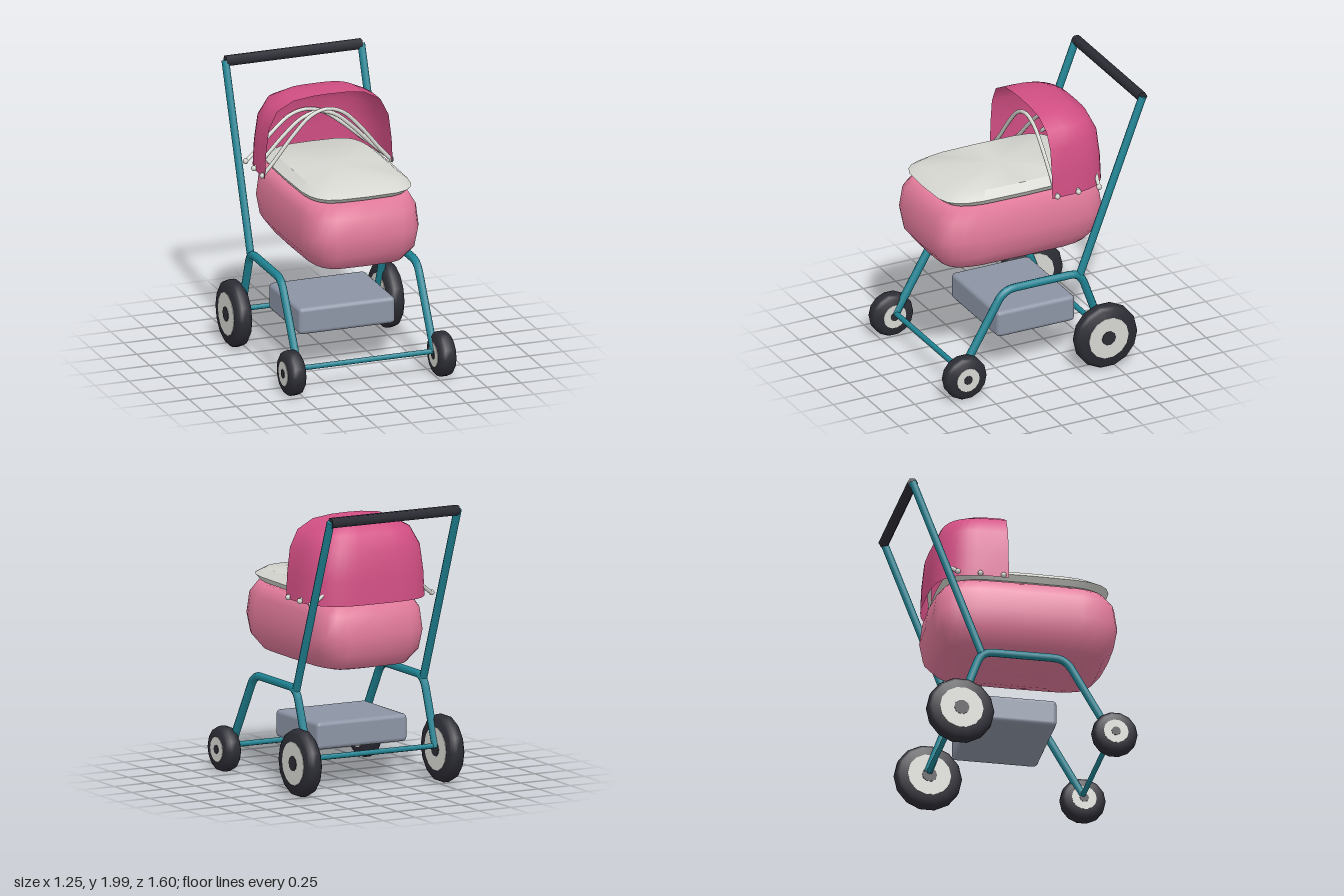
import * as THREE from 'three';
import { toCreasedNormals } from 'three/addons/utils/BufferGeometryUtils.js';
import { RoundedBoxGeometry } from 'three/addons/geometries/RoundedBoxGeometry.js';

const material = (name, color) => {
  const m = new THREE.MeshStandardMaterial({ color });
  m.name = name;
  return m;
};

// Stack of superellipse rings [y, halfWidth, halfDepth], bottom to top.
function loft(rings, { n, z, segments = 24, start = 0, arc = Math.PI * 2 }) {
  const closed = arc > 6.28;
  const cols = closed ? segments : segments + 1;
  const bend = (v) => Math.sign(v) * Math.abs(v) ** (2 / n);
  const positions = [], index = [];
  for (const [y, w, d] of rings) {
    for (let j = 0; j < cols; j++) {
      const t = start + (arc * j) / segments;
      positions.push(w * bend(Math.cos(t)), y, z + d * bend(Math.sin(t)));
    }
  }
  for (let i = 0; i < rings.length - 1; i++) {
    for (let j = 0; j < segments; j++) {
      const k = (j + 1) % cols;
      const a = i * cols + j, b = i * cols + k, c = a + cols, d = b + cols;
      index.push(a, c, b, b, c, d);
    }
  }
  const g = new THREE.BufferGeometry();
  g.setAttribute('position', new THREE.Float32BufferAttribute(positions, 3));
  g.setIndex(index);
  g.computeVertexNormals();
  return g;
}

export function createModel() {
  const model = new THREE.Group();
  model.name = 'babyCarriage';
  const bodyPink = material('bodyPink', 0xe27a9b);
  const hoodPink = material('hoodPink', 0xd24f84);
  hoodPink.side = THREE.DoubleSide;
  const teal = material('teal', 0x1f8494);
  const rubber = material('rubber', 0x2c2c35);
  const cream = material('cream', 0xd6d6d1);
  const slate = material('slate', 0x8c94a5);
  const V = (x, y, z) => new THREE.Vector3(x, y, z);

  const add = (name, geometry, mat, parent = model) => {
    const mesh = new THREE.Mesh(geometry, mat);
    mesh.name = name;
    parent.add(mesh);
    return mesh;
  };
  // Straight round bar between two points
  const bar = (name, from, to, radius, mat, sides = 8) => {
    const mesh = add(name, new THREE.CylinderGeometry(radius, radius, from.distanceTo(to), sides), mat);
    mesh.position.copy(from).lerp(to, 0.5);
    mesh.quaternion.setFromUnitVectors(V(0, 1, 0), to.clone().sub(from).normalize());
    return mesh;
  };

  // Padded body
  add('body', loft([
    [0.81, 0, 0], [0.825, 0.2, 0.36], [0.868, 0.34, 0.555], [0.965, 0.412, 0.63],
    [1.1, 0.435, 0.653], [1.25, 0.42, 0.632], [1.335, 0.375, 0.565], [1.35, 0, 0],
  ], { n: 4.8, z: 0.083 }), bodyPink);

  // Cover with a bevelled rim and slightly domed top
  add('cover', toCreasedNormals(loft([
    [1.345, 0, 0], [1.345, 0.37, 0.54], [1.385, 0.397, 0.59], [1.433, 0.335, 0.505], [1.442, 0, 0],
  ], { n: 4.5, z: 0.09 }), 0.6), cream);

  // Hood: open at the front and underneath
  add('hood', loft([
    [1.325, 0.47, 0.492], [1.5, 0.462, 0.486], [1.68, 0.44, 0.467], [1.8, 0.38, 0.41],
    [1.865, 0.26, 0.3], [1.882, 0.12, 0.17], [1.885, 0, 0],
  ], { n: 3.5, z: -0.077, start: Math.PI, arc: Math.PI }), hoodPink);

  // Hood ribs: [z at the ends, z at the peak, peak height]
  for (const [z0, z1, peak] of [[-0.115, -0.115, 1.765], [-0.277, -0.28, 1.692], [-0.435, -0.52, 1.63]]) {
    const points = [[-0.48, 0], [-0.4, 0.2], [-0.25, 0.62], [-0.12, 0.91], [0, 1],
      [0.12, 0.91], [0.25, 0.62], [0.4, 0.2], [0.48, 0]]
      .map(([x, h]) => V(x, 1.33 + h * (peak - 1.33), z0 + h * (z1 - z0)));
    const path = new THREE.CatmullRomCurve3(points);
    add('hoodRib', new THREE.TubeGeometry(path, 32, 0.014, 8), cream);
    for (const s of [-1, 1]) {
      add('ribEnd', new THREE.SphereGeometry(0.02, 8, 6), cream).position.set(s * 0.475, 1.338, z0);
    }
  }

  // Side frames: bent leg tube plus slanted handle tube
  for (const x of [-0.5, 0.5]) {
    const path = new THREE.CurvePath();
    const p = [V(x, 0.18, 0.637), V(x, 0.655, 0.357), V(x, 0.73, 0.313), V(x, 0.73, 0.23),
      V(x, 0.73, -0.2), V(x, 0.73, -0.275), V(x, 0.65, -0.305), V(x, 0.25, -0.45)];
    path.add(new THREE.LineCurve3(p[0], p[1]));
    path.add(new THREE.QuadraticBezierCurve3(p[1], p[2], p[3]));
    path.add(new THREE.LineCurve3(p[3], p[4]));
    path.add(new THREE.QuadraticBezierCurve3(p[4], p[5], p[6]));
    path.add(new THREE.LineCurve3(p[6], p[7]));
    add('sideFrame', new THREE.TubeGeometry(path, 48, 0.029, 8), teal);
    bar('handleTube', V(x, 0.72, -0.275), V(x, 1.97, -0.757), 0.028, teal);
  }
  bar('frontCrossbar', V(-0.5, 0.185, 0.637), V(0.5, 0.185, 0.637), 0.019, teal);
  bar('rearCrossbar', V(-0.5, 0.265, -0.44), V(0.5, 0.265, -0.44), 0.019, teal);
  bar('handleGrip', V(-0.5, 1.965, -0.757), V(0.5, 1.965, -0.757), 0.038, rubber, 6);

  // Storage basket
  add('basket', new RoundedBoxGeometry(0.71, 0.193, 0.6, 2, 0.03), slate).position.set(0, 0.385, -0.015);

  // Wheels: tyre, disc and hub, turned about the x axis
  const wheel = (name, x, y, z, radius, width, discRadius, hubRadius) => {
    const group = new THREE.Group();
    group.name = name;
    const h = width / 2, b = 0.03;
    const profile = [[0, -h], [radius - b, -h], [radius - b * 0.3, -h + b * 0.5], [radius, -h + b * 1.2],
      [radius, h - b * 1.2], [radius - b * 0.3, h - b * 0.5], [radius - b, h], [0, h]]
      .map(([r, v]) => new THREE.Vector2(r, v));
    add('tyre', toCreasedNormals(new THREE.LatheGeometry(profile, 14), 0.7), rubber, group);
    add('disc', new THREE.CylinderGeometry(discRadius, discRadius, width + 0.006, 14), cream, group);
    add('hub', new THREE.CylinderGeometry(hubRadius, hubRadius, width + 0.014, 10), rubber, group);
    group.rotation.z = Math.PI / 2;
    group.position.set(x, y, z);
    model.add(group);
  };
  for (const s of [-1, 1]) {
    wheel('frontWheel', s * 0.552, 0.163, 0.645, 0.158, 0.12, 0.087, 0.032);
    wheel('rearWheel', s * 0.56, 0.243, -0.437, 0.236, 0.112, 0.152, 0.053);
  }
  return model;
}
